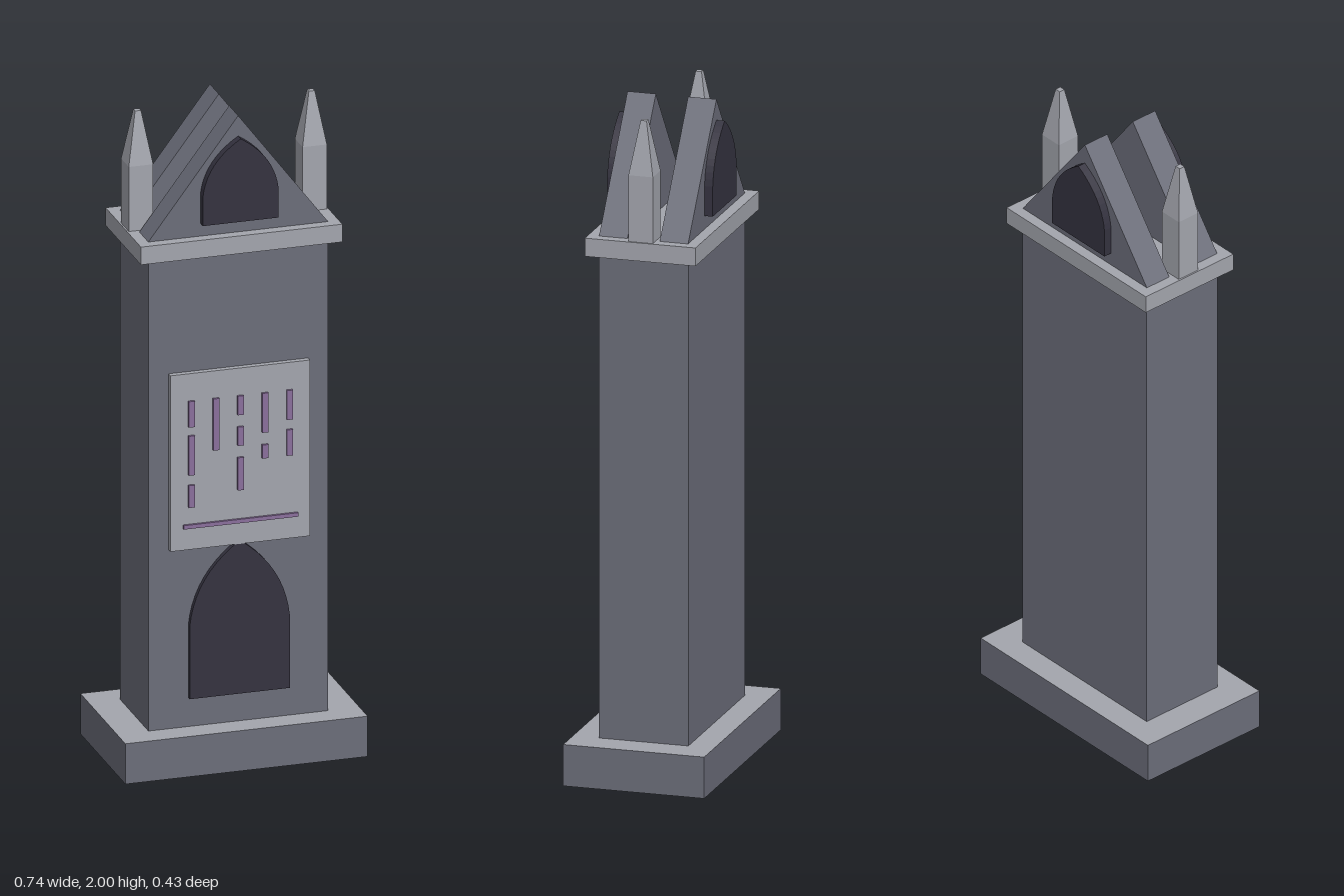
import * as THREE from 'three';

const flat = (name, color) => {
  const m = new THREE.MeshStandardMaterial({ color, flatShading: true });
  m.name = name;
  return m;
};

export function createModel() {
  const stone = flat('slate stone', 0x6b6d79);
  const pale = flat('pale stone', 0xa3a5ad);
  const dark = flat('dark recess', 0x34323f);
  const violet = flat('violet inlay', 0x8a6f9c);
  const model = new THREE.Group();
  model.name = 'tower';

  const add = (name, geometry, material, x = 0, y = 0, z = 0, parent = model) => {
    const mesh = new THREE.Mesh(geometry, material);
    mesh.name = name;
    mesh.position.set(x, y, z);
    parent.add(mesh);
    return mesh;
  };
  // Box given by full width, vertical range and z range
  const block = (name, material, x, w, y0, y1, z0, z1, parent) =>
    add(name, new THREE.BoxGeometry(w, y1 - y0, z1 - z0), material,
      x, (y0 + y1) / 2, (z0 + z1) / 2, parent);
  const extrude = (shape, depth) =>
    new THREE.ExtrudeGeometry(shape, { depth, bevelEnabled: false, curveSegments: 10 });
  // Softly pointed arch outline
  const arch = (w, y0, spring, top) => {
    const s = new THREE.Shape();
    const bend = spring + (top - spring) * 0.62;
    s.moveTo(-w, y0);
    s.lineTo(w, y0);
    s.lineTo(w, spring);
    s.quadraticCurveTo(w * 0.9, bend, 0, top);
    s.quadraticCurveTo(-w * 0.9, bend, -w, spring);
    s.closePath();
    return s;
  };

  // Plinth with a pale upper face, shaft and cornice
  block('plinth', [stone, stone, pale, stone, stone, stone], 0, 0.736, 0, 0.125, -0.214, 0.214);
  block('shaft', stone, 0, 0.546, 0.125, 1.585, -0.136, 0.136);
  block('cornice', pale, 0, 0.612, 1.585, 1.64, -0.168, 0.168);

  // Front doorway
  add('doorway', extrude(arch(0.152, 0.215, 0.44, 0.69), 0.016), dark, 0, 0, 0.135);

  // Front panel with raised inlay strips
  block('panel', pale, 0, 0.424, 0.68, 1.225, 0.135, 0.154);
  const inlay = new THREE.Group();
  inlay.name = 'panelInlay';
  model.add(inlay);
  const columns = [
    [[1.061, 1.141], [0.912, 1.034], [0.812, 0.881]],
    [[0.981, 1.141]],
    [[1.082, 1.141], [0.987, 1.045], [0.849, 0.95]],
    [[1.019, 1.141], [0.939, 0.981]],
    [[1.05, 1.141], [0.939, 1.019]],
  ];
  columns.forEach((strips, i) => strips.forEach(([y0, y1]) =>
    block('inlayStrip', violet, (i - 2) * 0.0745, 0.018, y0, y1, 0.153, 0.162, inlay)));
  block('inlayBar', violet, 0, 0.348, 0.747, 0.759, 0.153, 0.162, inlay);

  // Front and back gables, each with a dark arched window on the outside
  const triangle = new THREE.Shape([
    new THREE.Vector2(-0.273, 1.64),
    new THREE.Vector2(0.273, 1.64),
    new THREE.Vector2(0, 2),
  ]);
  for (const [name, turn] of [['frontGable', 0], ['backGable', Math.PI]]) {
    const gable = new THREE.Group();
    gable.name = name;
    gable.rotation.y = turn;
    model.add(gable);
    add('gableWall', extrude(triangle, 0.086), stone, 0, 0, 0.049, gable);
    add('gableWindow', extrude(arch(0.115, 1.68, 1.77, 1.937), 0.026), dark, 0, 0, 0.134, gable);
  }

  // Square pinnacles with tapered tips
  for (const [name, x] of [['leftPinnacle', 0.264], ['rightPinnacle', -0.264]]) {
    const pinnacle = new THREE.Group();
    pinnacle.name = name;
    pinnacle.position.x = x;
    model.add(pinnacle);
    block('pinnacleShaft', pale, 0, 0.074, 1.64, 1.84, -0.037, 0.037, pinnacle);
    const tip = new THREE.CylinderGeometry(0.009 * Math.SQRT2, 0.037 * Math.SQRT2, 0.16, 4);
    tip.rotateY(Math.PI / 4);
    add('pinnacleTip', tip, pale, 0, 1.92, 0, pinnacle);
  }
  return model;
}
